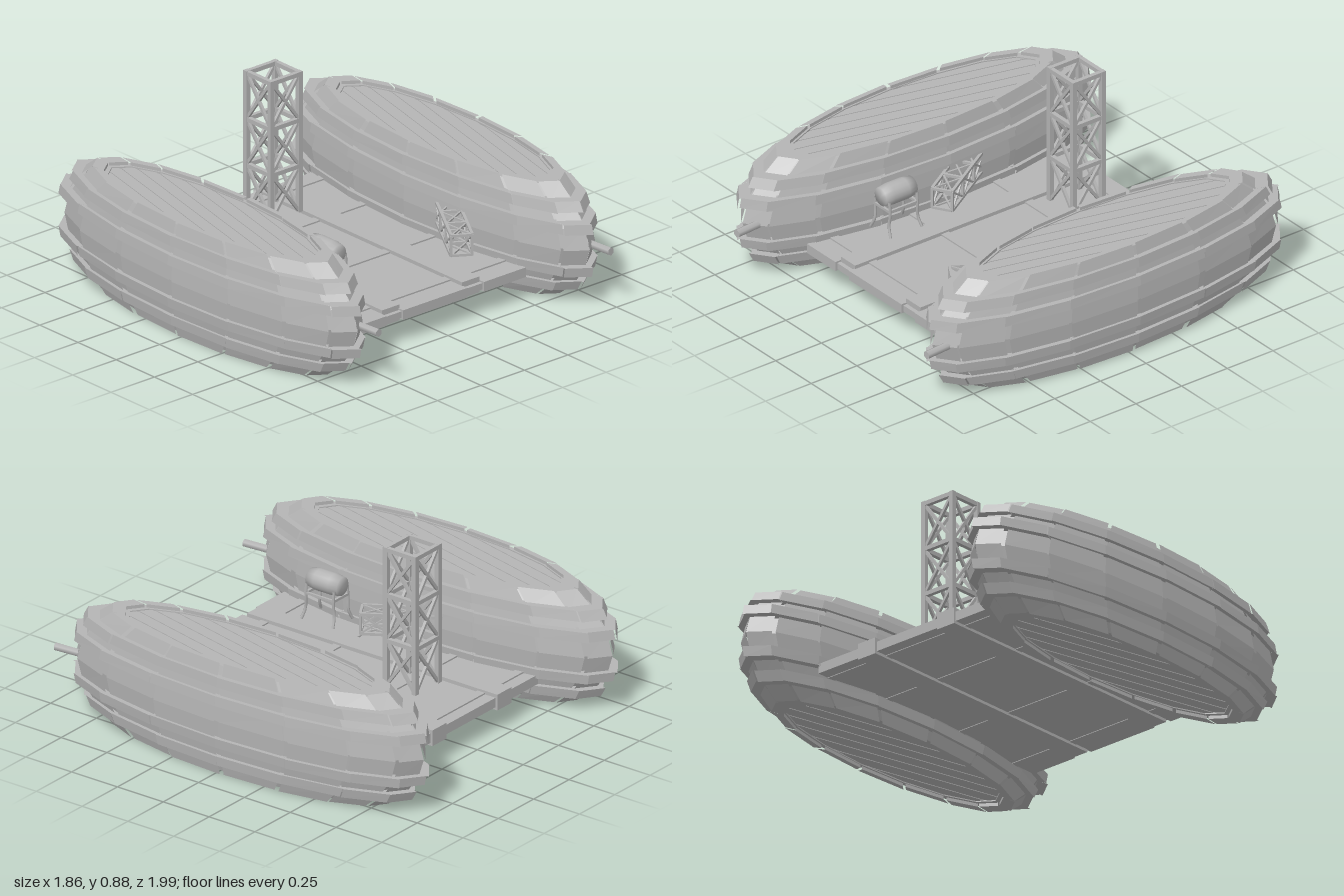
import * as THREE from 'three';

const grey = new THREE.MeshStandardMaterial({ color: 0xb4b4b4 });
grey.name = 'weathered grey';

function add(parent, geometry, name, x = 0, y = 0, z = 0) {
  const mesh = new THREE.Mesh(geometry, grey);
  mesh.name = name;
  mesh.position.set(x, y, z);
  parent.add(mesh);
  return mesh;
}

function group(parent, name, x = 0, y = 0, z = 0) {
  const g = new THREE.Group();
  g.name = name;
  g.position.set(x, y, z);
  parent.add(g);
  return g;
}

// box given by its limits
function slab(parent, name, x0, x1, y0, y1, z0, z1) {
  add(parent, new THREE.BoxGeometry(x1 - x0, y1 - y0, z1 - z0), name,
    (x0 + x1) / 2, (y0 + y1) / 2, (z0 + z1) / 2);
}

// square bar between two points
function bar(parent, name, a, b, t) {
  const p = new THREE.Vector3(...a), q = new THREE.Vector3(...b);
  const dir = q.clone().sub(p);
  const m = add(parent, new THREE.BoxGeometry(t, dir.length(), t), name);
  m.position.copy(p).add(q).multiplyScalar(0.5);
  m.quaternion.setFromUnitVectors(new THREE.Vector3(0, 1, 0), dir.normalize());
}

// sweep a closed [y, rx, rz] section around an ellipse; each facet gets its own scale
const SIDES = 16;
function facetedRing(section, scaleOf, gap = 0) {
  const pos = [];
  const step = Math.PI * 2 / SIDES;
  for (let i = 0; i < SIDES; i++) {
    const s = scaleOf(i), t0 = i * step + gap, t1 = (i + 1) * step - gap;
    const at = ([y, rx, rz], t) => [rx * s * Math.sin(t), y, rz * s * Math.cos(t)];
    section.forEach((p, k) => {
      const q = section[(k + 1) % section.length];
      const a = at(p, t0), b = at(p, t1), c = at(q, t1), d = at(q, t0);
      pos.push(...a, ...b, ...c, ...a, ...c, ...d);
    });
  }
  const g = new THREE.BufferGeometry();
  g.setAttribute('position', new THREE.Float32BufferAttribute(pos, 3));
  g.computeVertexNormals();
  return g;
}

// diagonal planks filling an oval lid
function lidPlanks(parent, y) {
  const n = 8, turn = -0.72, gap = 0.018;
  for (let i = 0; i < n; i++) {
    const u0 = -1 + 2 * i / n + gap, u1 = -1 + 2 * (i + 1) / n - gap;
    const pts = [];
    for (const side of [1, -1]) {
      for (let k = 0; k <= 4; k++) {
        const f = side > 0 ? k / 4 : 1 - k / 4;
        const u = u0 + (u1 - u0) * f, v = -side * Math.sqrt(1 - u * u);
        pts.push(new THREE.Vector2(
          0.187 * (u * Math.cos(turn) - v * Math.sin(turn)),
          0.685 * (u * Math.sin(turn) + v * Math.cos(turn))));
      }
    }
    const geo = new THREE.ExtrudeGeometry(new THREE.Shape(pts), { depth: 0.012, bevelEnabled: false });
    geo.rotateX(-Math.PI / 2);
    add(parent, geo, 'lidPlank', 0, y, 0);
  }
}

function addBarrel(parent, name, x) {
  const b = group(parent, name, x, 0, -0.03);
  const outer = [
    [0, 0.207, 0.75], [0.07, 0.224, 0.84], [0.17, 0.24, 0.915], [0.265, 0.246, 0.945],
    [0.36, 0.24, 0.915], [0.46, 0.224, 0.84], [0.53, 0.207, 0.75]];
  const jitter = i => 1 + 0.012 * Math.sin(i * 2.7);
  add(b, facetedRing([...outer, [0.53, 0.185, 0.68], [0, 0.185, 0.68]], jitter, 0.012), 'staves');
  add(b, facetedRing([[0.015, 0.2, 0.73], ...outer.slice(1, 6).map(([y, p, q]) => [y, p * 0.97, q * 0.97]),
    [0.515, 0.2, 0.73], [0.515, 0.18, 0.66], [0.015, 0.18, 0.66]], () => 1), 'barrelCore');

  // pairs of iron hoops near the top and the bottom
  const hoops = [[0.055, 0.1, 0.24, 0.245, 0.875, 0.9], [0.145, 0.19, 0.254, 0.259, 0.955, 0.965],
    [0.345, 0.39, 0.259, 0.254, 0.965, 0.955], [0.43, 0.475, 0.245, 0.24, 0.91, 0.885]];
  for (const [y0, y1, a0, a1, c0, c1] of hoops) {
    add(b, facetedRing([[y0, a0, c0], [y1, a1, c1], [y1, a1 - 0.03, c1 - 0.08], [y0, a0 - 0.03, c0 - 0.08]],
      i => 1 + 0.008 * Math.sin(i * 1.9 + y0 * 30)), 'hoop');
  }

  // lids with a backing disc behind the plank gaps
  for (const y of [0.02, 0.498]) {
    lidPlanks(b, y);
    const disc = new THREE.CylinderGeometry(1, 1, 0.006, 32);
    disc.scale(0.187, 1, 0.685);
    add(b, disc, 'lidBacking', 0, y + 0.006, 0);
  }

  const tap = new THREE.CylinderGeometry(0.019, 0.019, 0.22, 6).rotateX(Math.PI / 2);
  add(b, tap, 'tap', 0.05, 0.265, 0.91).rotation.y = 0.08;
}

// square truss rising along y, with crossed braces on all sides
function addTruss(parent, name, width, depth, height, bays, t, closedBase) {
  const g = group(parent, name);
  const w = width / 2 - t / 2, d = depth / 2 - t / 2;
  const corners = [[-w, -d], [w, -d], [w, d], [-w, d]];
  const bay = (height - t / 2) / bays;
  corners.forEach(([x, z], i) => {
    const [x2, z2] = corners[(i + 1) % 4];
    bar(g, 'post', [x, 0, z], [x, height, z], t);
    for (let k = 0; k <= bays; k++) {
      const y = k * bay;
      if (k > 0 || closedBase) bar(g, 'rail', [x, y, z], [x2, y, z2], t * 0.9);
      if (k === bays) continue;
      bar(g, 'brace', [x, y, z], [x2, y + bay, z2], t * 0.6);
      bar(g, 'brace', [x2, y, z2], [x, y + bay, z], t * 0.6);
    }
  });
  return g;
}

function addDeck(parent) {
  const deck = group(parent, 'deck');
  slab(deck, 'deckBase', -0.5, 0.5, 0.12, 0.15, -0.69, 0.68);
  const columns = [[-0.5, -0.3], [-0.205, 0.165], [0.26, 0.5]];
  const rows = [[-0.695, -0.635], [-0.6, -0.31], [-0.275, 0.155], [0.18, 0.55], [0.58, 0.69]];
  for (const [x0, x1] of columns) {
    for (const [z0, z1] of rows) slab(deck, 'deckPanel', x0, x1, 0.113, 0.158, z0, z1);
  }
  for (const x of [-0.25, 0.21]) slab(deck, 'longBeam', x - 0.05, x + 0.05, 0.1, 0.175, -0.705, 0.66);
  for (const z of [-0.617, -0.29, 0.168, 0.565]) {
    slab(deck, 'crossBeam', -0.5, 0.5, 0.11, 0.165, z - 0.02, z + 0.02);
  }
}

// small keg lying in a cradle with splayed legs
function addKeg(parent) {
  const g = group(parent, 'kegStand', -0.335, 0, 0.33);
  const profile = [[0, -0.085], [0.043, -0.085], [0.05, -0.04], [0.05, 0.04], [0.043, 0.085], [0, 0.085]]
    .map(p => new THREE.Vector2(...p));
  add(g, new THREE.LatheGeometry(profile, 16).rotateX(Math.PI / 2), 'keg', 0, 0.37, 0);
  for (const z of [-0.075, 0.075]) {
    bar(g, 'cradleBar', [-0.055, 0.315, z], [0.055, 0.315, z], 0.012);
    for (const s of [-1, 1]) {
      const leg = new THREE.CatmullRomCurve3([
        new THREE.Vector3(s * 0.048, 0.36, z), new THREE.Vector3(s * 0.052, 0.3, z),
        new THREE.Vector3(s * 0.05, 0.24, z * 1.05), new THREE.Vector3(s * 0.07, 0.195, z * 1.15)]);
      add(g, new THREE.TubeGeometry(leg, 8, 0.007, 5), 'cradleLeg');
    }
  }
  for (const s of [-1, 1]) bar(g, 'sideRail', [s * 0.05, 0.315, -0.075], [s * 0.05, 0.315, 0.075], 0.01);
}

export function createModel() {
  const model = new THREE.Group();
  model.name = 'barrelRaft';

  addBarrel(model, 'rightBarrel', -0.668);
  addBarrel(model, 'leftBarrel', 0.668);
  addDeck(model);
  addKeg(model);

  addTruss(model, 'tower', 0.185, 0.18, 0.66, 3, 0.022, false).position.set(0, 0.215, -0.395);

  // two truss pieces lying on the deck, leaning into the barrels
  for (const [x, z, dx, dz] of [[-0.295, 0.11, -0.52, -0.85], [0.285, 0.515, 0.52, -0.85]]) {
    const piece = addTruss(model, 'fallenTruss', 0.105, 0.105, 0.4, 3, 0.013, true);
    piece.rotation.order = 'YXZ';
    piece.rotation.set(Math.PI / 2, Math.atan2(dx, dz), 0);
    piece.position.set(x, 0.268, z);
  }
  return model;
}
